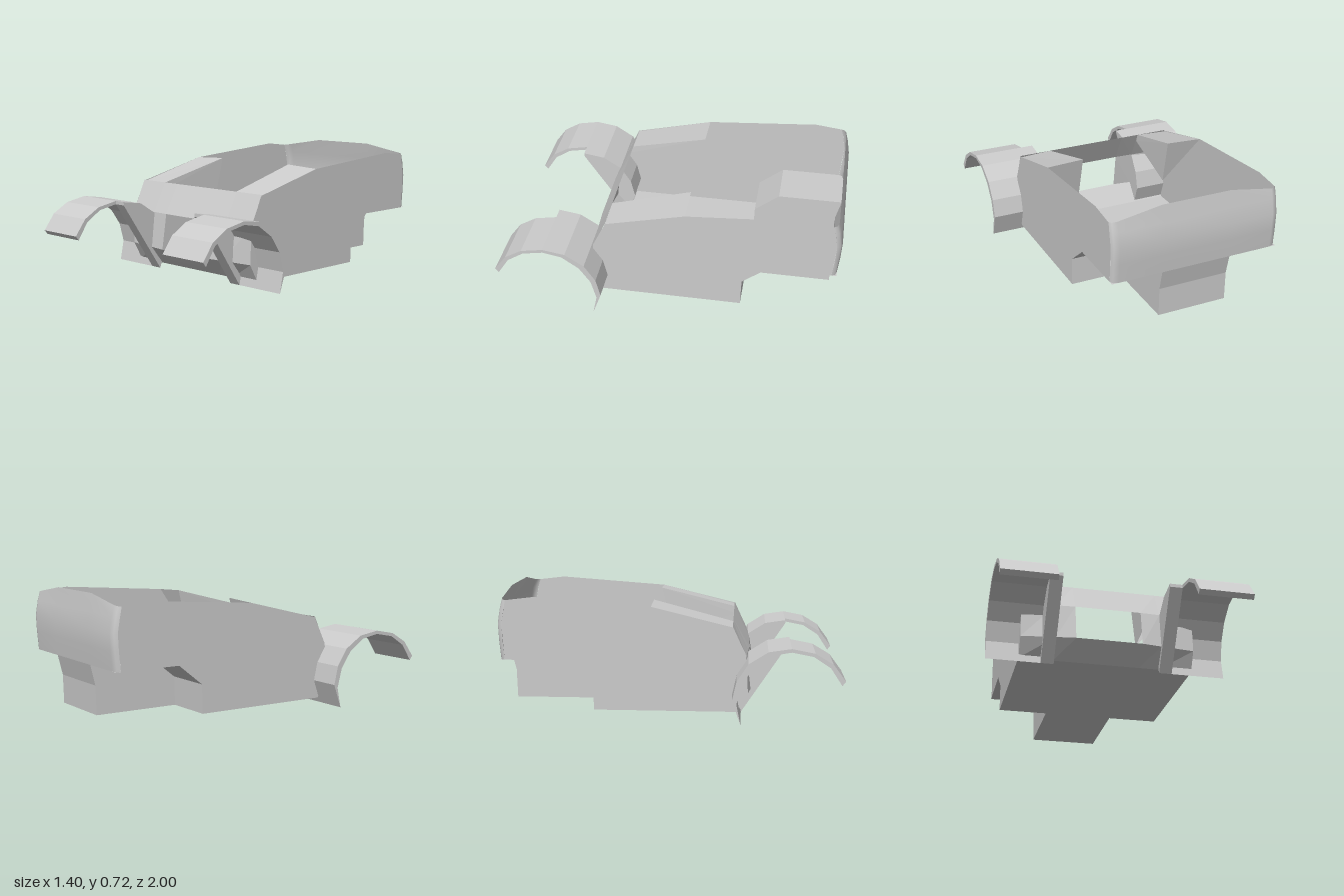
import * as THREE from 'three';

const shellMat = new THREE.MeshStandardMaterial({ color: 0xcccccc, side: THREE.DoubleSide });
const flatMat = new THREE.MeshStandardMaterial({ color: 0xcccccc, side: THREE.DoubleSide, flatShading: true });

function mesh(name, geometry, material = flatMat) {
  const m = new THREE.Mesh(geometry, material);
  m.name = name;
  return m;
}

// Sheet through rows of [x, y, z] points; skip(row, column) leaves holes.
function sheet(rows, skip = () => false) {
  const n = rows[0].length, index = [];
  for (let r = 0; r < rows.length - 1; r++) {
    for (let c = 0; c < n - 1; c++) {
      if (skip(r, c)) continue;
      const a = r * n + c, b = a + n;
      index.push(a, a + 1, b + 1, a, b + 1, b);
    }
  }
  const g = new THREE.BufferGeometry();
  g.setAttribute('position', new THREE.Float32BufferAttribute(rows.flat(2), 3));
  g.setIndex(index);
  g.computeVertexNormals();
  return g;
}

// Outline of [z, y] points standing in the side plane
const sideShape = (pts) => new THREE.Shape(pts.map(([z, y]) => new THREE.Vector2(-z, y)));

// Flat side plate at a given x
function sidePlate(pts, x) {
  return new THREE.ShapeGeometry(sideShape(pts)).rotateY(Math.PI / 2).translate(x, 0, 0);
}

// Side outline given width between two x values
function sidePrism(pts, x0, x1) {
  return new THREE.ExtrudeGeometry(sideShape(pts), { depth: x1 - x0, bevelEnabled: false })
    .rotateY(Math.PI / 2).translate(x0, 0, 0);
}

// Profile of [z, y] points swept straight between two x values
const band = (pts, x0, x1) => sheet(pts.map(([z, y]) => [[x0, y, z], [x1, y, z]]));

const wellProfile = [[-0.435, 0.03], [-0.44, 0.2], [-0.59, 0.32], [-0.985, 0.32]];

function createSide() {
  const g = new THREE.Group();

  // Tub wall with the rear wheel cut-out
  g.add(mesh('sideWall', sidePlate([
    [0.4, 0.03], [0.46, 0.14], [0.45, 0.36], [0.37, 0.525], [-0.1, 0.64], [-0.78, 0.69],
    [-0.945, 0.67], [-0.97, 0.53], [-0.955, 0.32], [-0.59, 0.32], [-0.44, 0.2], [-0.435, 0.03],
  ], 0.51)));

  // Rear wheel well
  g.add(mesh('wheelWellRoof', band(wellProfile, 0.21, 0.51)));
  g.add(mesh('wheelWellInnerWall', sidePlate([...wellProfile, [-0.955, 0.2], [-0.95, 0.03]], 0.21)));

  // Sloping cowl beside the cockpit, with its folded inner edge
  g.add(mesh('cowl', sheet([
    [[0.285, 0.65, -0.1], [0.51, 0.64, -0.1]],
    [[0.31, 0.53, 0.37], [0.51, 0.52, 0.37]],
  ])));
  g.add(mesh('cowlInnerPanel', sheet([
    [[0.285, 0.65, -0.1], [0.31, 0.53, 0.37]],
    [[0.29, 0.37, -0.03], [0.31, 0.48, 0.39]],
  ])));
  g.add(mesh('cowlRearPanel', sheet([
    [[0.285, 0.65, -0.1], [0.51, 0.64, -0.1]],
    [[0.29, 0.37, -0.03], [0.29, 0.37, -0.03]],
  ])));

  // Front mudguard: a thin arc over the wheel
  const outer = [[1, 0.26], [0.93, 0.355], [0.83, 0.415], [0.7, 0.44], [0.57, 0.42],
    [0.46, 0.35], [0.395, 0.25], [0.37, 0.14], [0.42, 0]];
  const inner = [[0.395, 0.12], [0.425, 0.235], [0.49, 0.33], [0.59, 0.4], [0.7, 0.42],
    [0.82, 0.397], [0.915, 0.335], [0.98, 0.235]];
  g.add(mesh('frontMudguard', sidePrism([...outer, ...inner], 0.385, 0.7)));
  // Solid web joining the mudguard to the body
  g.add(mesh('mudguardWeb', sidePrism([...outer.slice(3), [0.7, 0.42]], 0.31, 0.385)));
  return g;
}

export function createModel() {
  const model = new THREE.Group();
  model.name = 'openCarBody';

  const left = createSide();
  left.name = 'leftSide';
  const right = createSide();
  right.name = 'rightSide';
  right.scale.x = -1;
  model.add(left, right);

  // Floor, narrowing between the rear wheel wells
  model.add(mesh('frontFloor', band([[0.4, 0.03], [-0.435, 0.03]], -0.51, 0.51)));
  model.add(mesh('rearFloor', band([[-0.435, 0.03], [-0.95, 0.03]], -0.21, 0.21)));

  // Nose: bowed across the width, with a grille opening in the middle
  const noseX = [-0.51, -0.31, -0.195, 0.195, 0.31, 0.51];
  const bow = [0.04, 0.015, 0, 0, 0.015, 0.04];
  const nose = [[0.03, 0.4, 0], [0.14, 0.5, 1], [0.355, 0.466, 0.4], [0.53, 0.37, 0]]
    .map(([y, z, k]) => noseX.map((x, i) => [x, y, z - k * bow[i]]));
  model.add(mesh('nosePanel', sheet(nose, (r, c) => r === 1 && c === 2)));

  // Tail: curved panel with rounded corners and a raised middle rim
  const tailX = [-0.51, -0.5, -0.47, -0.21, 0.21, 0.47, 0.5, 0.51];
  const corner = [0.03, 0.01, 0, 0, 0, 0, 0.01, 0.03];
  const rim = [0.67, 0.672, 0.677, 0.72, 0.72, 0.677, 0.672, 0.67];
  const tail = [[0.32, -0.985], [0.43, -0.995], [0.53, -1], [0.62, -0.985], [0, -0.97]]
    .map(([y, z]) => tailX.map((x, i) => [x, y || rim[i], z + corner[i]]));
  model.add(mesh('tailPanel', sheet(tail), shellMat));
  model.add(mesh('lowerTailPanel', band([[-0.95, 0.03], [-0.955, 0.2], [-0.985, 0.32]], -0.21, 0.21)));

  return model;
}
